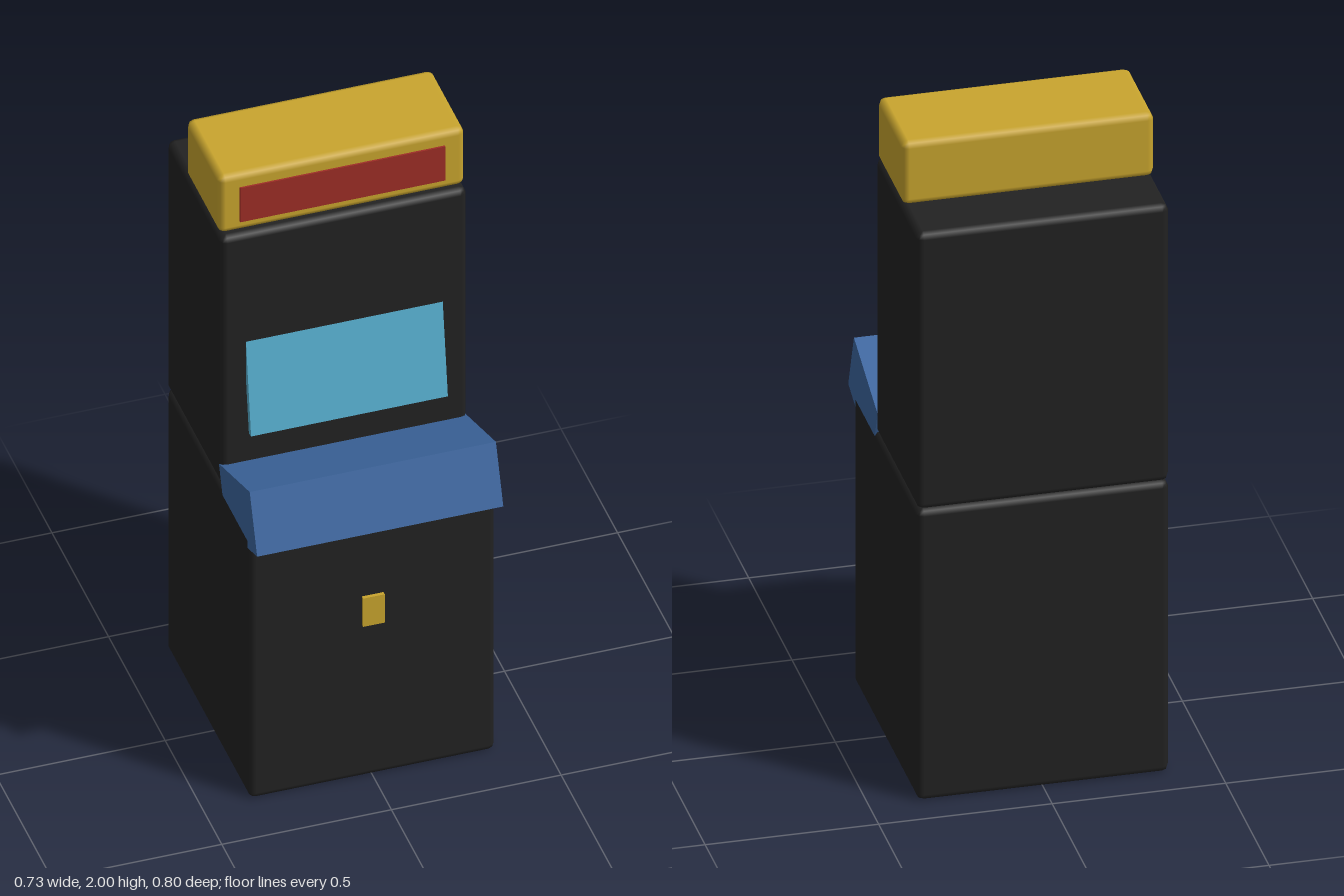
import * as THREE from 'three';
import { RoundedBoxGeometry } from 'three/addons/geometries/RoundedBoxGeometry.js';

const paint = (name, color) => {
  const m = new THREE.MeshStandardMaterial({ color });
  m.name = name;
  return m;
};

export function createModel() {
  const group = new THREE.Group();
  group.name = 'arcadeCabinet';

  const black = paint('black', 0x222222);
  const gold = paint('gold', 0xc9a52e);
  const red = paint('red', 0x9e2d26);
  const cyan = paint('cyan', 0x57aece);
  const blue = paint('blue', 0x3d67a0);

  const add = (name, geometry, material, y, z, tilt = 0) => {
    const mesh = new THREE.Mesh(geometry, material);
    mesh.name = name;
    mesh.position.set(0, y, z);
    mesh.rotation.x = tilt;
    group.add(mesh);
  };
  // Box with a single-step bevel, placed by its y and z limits
  const bevelled = (name, material, y0, y1, z0, z1) =>
    add(name, new RoundedBoxGeometry(0.726, y1 - y0, z1 - z0, 1, 0.02),
      material, (y0 + y1) / 2, (z0 + z1) / 2);

  // Cabinet body and marquee
  bevelled('lowerCabinet', black, 0, 0.923, -0.4, 0.334);
  bevelled('upperCabinet', black, 0.923, 1.8, -0.4, 0.084);
  bevelled('marquee', gold, 1.8, 2, -0.228, 0.065);

  // Marquee sign
  add('marqueeSign', new THREE.BoxGeometry(0.604, 0.12, 0.009), red, 1.895, 0.066);

  // Tilted screen and control panel
  add('screen', new THREE.BoxGeometry(0.58, 0.33, 0.02), cyan, 1.28, 0.095, -0.15);
  add('controlPanel', new THREE.BoxGeometry(0.7255, 0.192, 0.29), blue, 0.951, 0.232, -0.35);

  // Coin slot
  add('coinSlot', new THREE.BoxGeometry(0.064, 0.1, 0.02), gold, 0.59, 0.335);

  return group;
}
